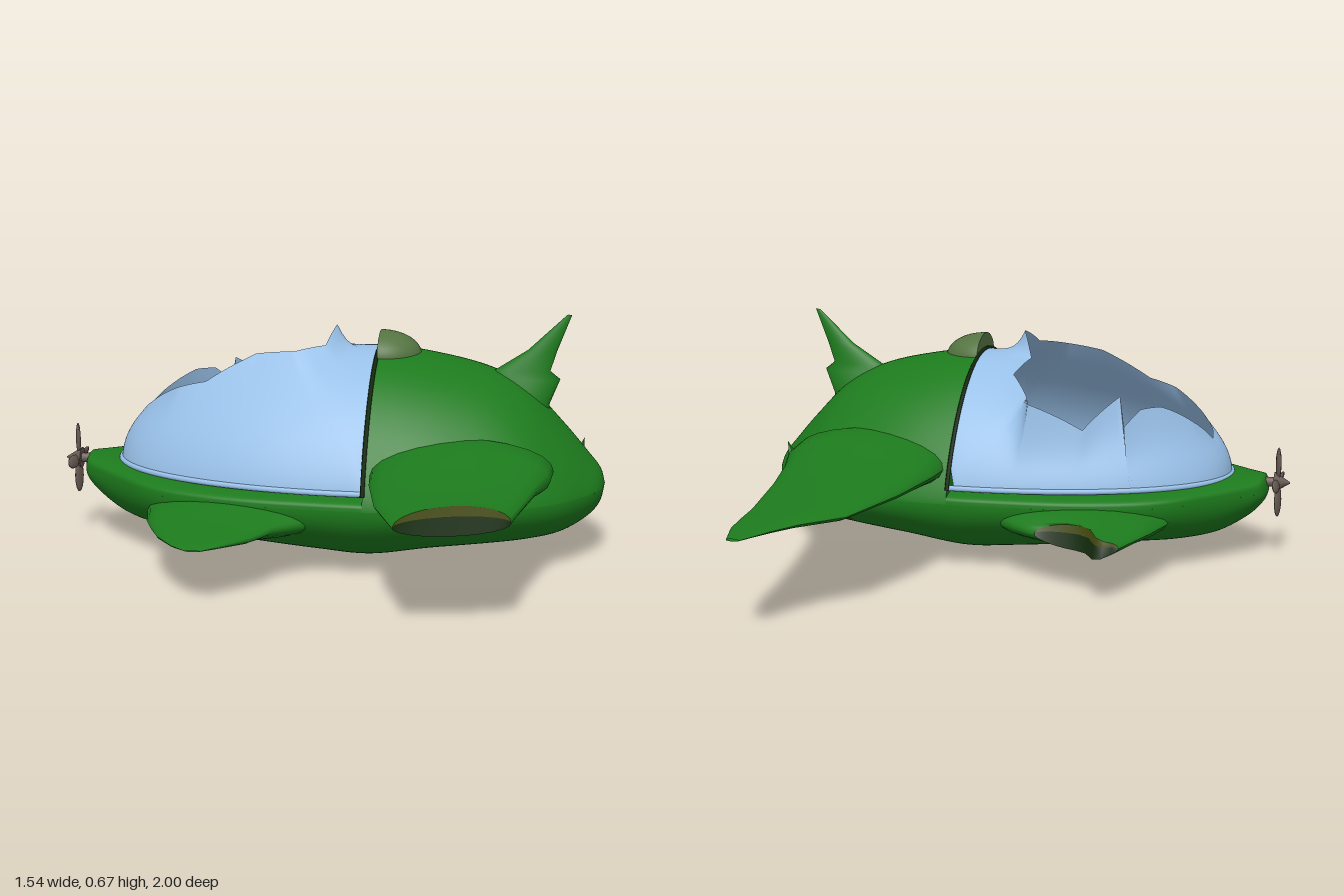
import * as THREE from 'three';

const ZC = 0.14;      // centre line of the craft
const WATER = 0.2;    // height of the widest line of the hull
const V = (x, y, z) => new THREE.Vector3(x, y, z);

const paint = (name, color) =>
  Object.assign(new THREE.MeshStandardMaterial({ color, side: THREE.DoubleSide }), { name });

// Smooth surface through rows of points; keep(centre) can leave out faces
function skin(rows, keep) {
  const n = rows[0].length, index = [];
  for (let i = 0; i + 1 < rows.length; i++) {
    for (let j = 0; j + 1 < n; j++) {
      const a = i * n + j;
      index.push(a, a + 1, a + n, a + 1, a + n + 1, a + n);
    }
  }
  const geo = new THREE.BufferGeometry().setFromPoints(rows.flat());
  geo.setIndex(index);
  geo.computeVertexNormals();
  if (keep) {
    const pts = rows.flat(), kept = [];
    for (let k = 0; k < index.length; k += 3) {
      const t = index.slice(k, k + 3);
      const c = V(0, 0, 0).add(pts[t[0]]).add(pts[t[1]]).add(pts[t[2]]).divideScalar(3);
      if (keep(c)) kept.push(...t);
    }
    geo.setIndex(kept);
  }
  return geo;
}

// Lens-shaped section: s = [span, x0, x1, y0, y1]; tear shifts the edge along the span
function lens([span, x0, x1, y0, y1], tear) {
  const ring = [];
  for (let i = 0; i <= 24; i++) {
    const a = (i / 24) * Math.PI * 2, t = (1 - Math.cos(a)) / 2;
    const y = (y0 + y1) / 2 + ((y1 - y0) / 2) * Math.sin(a);
    ring.push(V(x0 + (x1 - x0) * t, y, span + (tear ? tear(t, i < 12) : 0)));
  }
  return ring;
}

// Strip across a torn end between two fractions of the way from upper to lower edge
function tornEnd(ring, f0, f1) {
  const upper = ring.slice(0, 13), lower = ring.slice(12).reverse();
  return skin([f0, f1].map((f) => upper.map((p, i) => p.clone().lerp(lower[i], f))));
}

export function createModel() {
  const model = new THREE.Group();
  model.name = 'bubbleCraft';
  const green = paint('hullGreen', 0x1d7b1d);
  const blue = paint('canopyBlue', 0x98c0e8);
  const char = paint('charredBlack', 0x12280c);
  const scorch = paint('scorchedOlive', 0x3e440c);
  const olive = paint('lampOlive', 0x557442);
  const metal = paint('propellerMetal', 0x6a5c56);
  const add = (name, geo, mat, parent = model) => {
    const mesh = new THREE.Mesh(geo, mat);
    mesh.name = name;
    parent.add(mesh);
    return mesh;
  };

  // Hull stations: x, half width, depth below and height above the widest line
  const stations = [
    [-0.71, 0, 0, 0.05], [-0.695, 0.06, 0.035, 0.1], [-0.65, 0.11, 0.08, 0.16], [-0.57, 0.19, 0.125, 0.2],
    [-0.47, 0.285, 0.145, 0.25], [-0.35, 0.345, 0.155, 0.3], [-0.18, 0.388, 0.17, 0.34], [0.0, 0.405, 0.188, 0.36],
    [0.14, 0.41, 0.197, 0.372], [0.3, 0.4, 0.172, 0.352], [0.45, 0.36, 0.157, 0.315], [0.56, 0.315, 0.145, 0.255],
    [0.65, 0.25, 0.127, 0.165], [0.72, 0.16, 0.09, 0.085], [0.757, 0.085, 0.05, 0.04], [0.77, 0, 0, 0],
  ];
  const curve = (k) => new THREE.CatmullRomCurve3(stations.map((s) => V(s[0], s[1], s[k])), false, 'catmullrom', 0.5);
  const below = curve(2), above = curve(3);
  const split = 8 / 15;   // station of the bulkhead
  const loft = (path, u0, u1, nu, height, power, na = 72) => {
    const rows = [];
    for (let i = 0; i <= nu; i++) {
      const p = path.getPoint(u0 + ((u1 - u0) * i) / nu), row = [];
      for (let j = 0; j <= na; j++) {
        const a = (j / na) * Math.PI;
        const h = height(p) * Math.pow(Math.max(0, Math.sin(a)), power);
        row.push(V(p.x, WATER + h, ZC + Math.max(0, p.y) * Math.cos(a)));
      }
      rows.push(row);
    }
    return rows;
  };

  // Lower hull with a ragged, scorched hole in the tail
  const lower = loft(below, 0, 1, 110, (p) => -Math.max(0, p.z), 1);
  const hole = V(0.6, 0.12, -0.1);
  const ragged = (c) => c.distanceTo(hole) + 0.014 * Math.sin(5 * Math.atan2(c.y - hole.y, c.z - hole.z));
  const band = (from, to) => skin(lower, (c) => ragged(c) > from && ragged(c) <= to);
  add('lowerHull', band(0.138, Infinity), green);
  add('holeOuterRim', band(0.118, 0.138), scorch);
  add('holeInnerRim', band(0.08, 0.118), char);
  const shard = add('tailShard', new THREE.ConeGeometry(0.03, 0.1, 5), green);
  shard.position.set(0.695, 0.245, -0.01);
  shard.rotation.z = -0.3;

  // Front deck, rear shell and bulkhead with a dark seam along its edge
  add('frontDeck', skin(loft(above, 0, split, 40, (p) => 0.043 * Math.min(1, Math.max(0, p.y) / 0.06), 0.5)), green);
  const rear = loft(above, split, 1, 44, (p) => Math.max(0, p.z), 1.5);
  add('rearShell', skin(rear), green);
  add('bulkhead', skin([rear[0], rear[0].map((p) => V(p.x, WATER, p.z))]), green);
  add('canopySeam', new THREE.TubeGeometry(new THREE.CatmullRomCurve3(rear[0].slice(5, -5)), 80, 0.006, 6), char);

  // Canopy: half dome between its base line and a broken opening [x, z, lift]
  const R = V(0.74, 0.335, 0.38), BASE = 0.235, BACK = 0.14;
  const glassY = (x, z) => {
    const crest = Math.sqrt(Math.max(0, 1 - ((x - BACK) / R.x) ** 2));
    const t = (z - ZC) / (R.z * crest + 1e-6);
    return BASE + R.y * crest * Math.max(0, 1 - t * t) ** 0.72;
  };
  const opening = [
    [-0.55, 0.1, 0], [-0.5, 0.04, 0.04], [-0.42, -0.02, 0.075], [-0.37, -0.06, 0.08], [-0.33, -0.1, 0.06],
    [-0.31, -0.06, 0.08], [-0.22, -0.14, 0.05], [-0.07, -0.17, 0.115], [-0.05, -0.1, 0.03], [0.01, -0.02, 0.01],
    [-0.02, 0.07, 0.01], [0.02, 0.15, 0.065], [0.0, 0.24, 0.04], [-0.08, 0.28, 0.055], [-0.19, 0.26, 0.055],
    [-0.33, 0.275, 0.03], [-0.41, 0.26, 0.04], [-0.5, 0.2, 0.015], [-0.54, 0.15, 0], [-0.55, 0.1, 0],
  ];
  const mid = [-0.22, 0.07];
  const baseAlong = (x, z) => {
    // Point where the ray from the middle meets the base ellipse or the back edge
    const dx = x - mid[0], dz = z - mid[1];
    const px = (mid[0] - BACK) / R.x, pz = (mid[1] - ZC) / R.z, ex = dx / R.x, ez = dz / R.z;
    const a = ex * ex + ez * ez, b = px * ex + pz * ez, c = px * px + pz * pz - 1;
    let k = (-b + Math.sqrt(b * b - a * c)) / a;
    if (dx > 0) k = Math.min(k, (BACK - mid[0]) / dx);
    return [mid[0] + dx * k, mid[1] + dz * k];
  };
  const columns = [];
  for (let i = 0; i + 1 < opening.length; i++) {
    for (let s = 0; s < 8 || (s === 8 && i === opening.length - 2); s++) {
      const [x, z, lift] = opening[i].map((v, k) => v + ((opening[i + 1][k] - v) * s) / 8);
      const [bx, bz] = baseAlong(x, z), column = [];
      for (let r = 0; r <= 16; r++) {
        const f = (r / 16) ** 1.8, cx = bx + (x - bx) * f, cz = bz + (z - bz) * f;
        column.push(V(cx, glassY(cx, cz) + lift * f ** 4, cz));
      }
      columns.push(column);
    }
  }
  add('canopy', skin(columns), blue);
  const rim = [];
  for (let i = 0; i <= 24; i++) {
    const a = (i / 24) * Math.PI;
    rim.push(V(BACK - R.x * Math.sin(a), BASE + 0.005, ZC + R.z * Math.cos(a)));
  }
  add('canopyRim', new THREE.TubeGeometry(new THREE.CatmullRomCurve3(rim), 80, 0.008, 8), blue);

  // Main wings: one whole, one torn off short
  const wingRoot = [
    [0.18, 0.2, 0.57, 0.24, 0.36], [0.27, 0.165, 0.635, 0.215, 0.375], [0.36, 0.155, 0.63, 0.215, 0.367],
    [0.46, 0.165, 0.6, 0.235, 0.34], [0.64, 0.2, 0.565, 0.245, 0.315],
  ];
  const wingTip = [
    [0.86, 0.27, 0.535, 0.25, 0.292], [0.96, 0.36, 0.525, 0.255, 0.287], [1.04, 0.405, 0.515, 0.26, 0.282],
    [1.14, 0.45, 0.485, 0.268, 0.274],
  ];
  const place = (s, side) => [ZC + side * s[0], ...s.slice(1)];
  add('rightWing', skin([...wingRoot, ...wingTip].map((s) => lens(place(s, -1)))), green);
  const wingTear = lens([1.0, 0.27, 0.55, 0.262, 0.315], (t, top) => -0.08 * t - (top ? 0.085 * Math.sin(Math.PI * t) ** 0.4 : 0));
  add('leftWing', skin([...wingRoot.map((s) => lens(place(s, 1))), wingTear]), green);
  add('leftWingScorch', tornEnd(wingTear, 0, 0.35), scorch);
  add('leftWingTear', tornEnd(wingTear, 0.35, 1), char);

  // Front fins: one whole, one torn
  const finRoot = [
    [0.17, -0.47, 0.05, 0.12, 0.2], [0.29, -0.465, 0.05, 0.1, 0.205], [0.35, -0.45, 0.02, 0.1, 0.205],
    [0.4, -0.44, -0.02, 0.108, 0.2], [0.45, -0.42, -0.09, 0.118, 0.185],
  ];
  const finTip = [[0.54, -0.38, -0.13, 0.13, 0.173], [0.62, -0.325, -0.2, 0.142, 0.162], [0.66, -0.28, -0.24, 0.149, 0.153]];
  add('leftFrontFin', skin([...finRoot, ...finTip].map((s) => lens(place(s, 1)))), green);
  const finTear = lens([-0.42, -0.385, -0.13, 0.125, 0.178], (t, top) =>
    0.09 * t - 0.08 * Math.max(0, 1 - Math.abs(t - 0.2) / 0.2) + (top ? 0.06 * Math.sin(Math.PI * t) ** 0.6 : 0));
  add('rightFrontFin', skin([...finRoot.map((s) => lens(place(s, -1))), finTear]), green);
  add('rightFrontFinScorch', tornEnd(finTear, 0, 0.35), scorch);
  add('rightFrontFinTear', tornEnd(finTear, 0.35, 1), char);

  // Tail fin with a notched trailing edge, lofted upwards
  const tail = [
    [0.36, 0.42, 0.61, 0.06], [0.42, 0.42, 0.612, 0.05], [0.49, 0.44, 0.64, 0.03], [0.512, 0.46, 0.612, 0.024],
    [0.57, 0.55, 0.63, 0.014], [0.67, 0.655, 0.668, 0.002],
  ];
  add('tailFin', skin(tail.map(([h, x0, x1, w]) => lens([h, x0, x1, -w, w]).map((p) => V(p.x, p.z, ZC + p.y)))), green);

  // Half-dome lamp behind the canopy
  const lamp = new THREE.Group();
  lamp.name = 'lamp';
  lamp.position.set(0.142, 0.55, 0.15);
  lamp.scale.set(0.115, 0.068, 0.095);
  model.add(lamp);
  const dome = new THREE.SphereGeometry(1, 24, 10, Math.PI / 2, Math.PI, 0, Math.PI / 2);
  add('lampDome', dome, olive, lamp);
  add('lampFront', new THREE.CircleGeometry(1, 24, 0, Math.PI), olive, lamp).rotation.y = -Math.PI / 2;

  // Propeller on the nose
  const propeller = new THREE.Group();
  propeller.name = 'propeller';
  propeller.position.set(-0.735, 0.222, ZC);
  model.add(propeller);
  const hub = add('hub', new THREE.CylinderGeometry(0.002, 0.03, 0.045, 12), metal, propeller);
  hub.rotation.z = Math.PI / 2;
  hub.position.x = -0.012;
  const shaft = add('shaft', new THREE.CylinderGeometry(0.014, 0.014, 0.05, 10), metal, propeller);
  shaft.rotation.z = Math.PI / 2;
  shaft.position.x = 0.03;
  for (let i = 0; i < 4; i++) {
    const arm = new THREE.Group();
    arm.name = 'bladeArm';
    arm.rotation.x = (i * Math.PI) / 2;
    propeller.add(arm);
    const blade = add('blade', new THREE.SphereGeometry(1, 10, 8), metal, arm);
    blade.scale.set(0.007, 0.048, 0.018);
    blade.position.y = 0.054;
    blade.rotation.y = 0.4;
  }
  return model;
}
